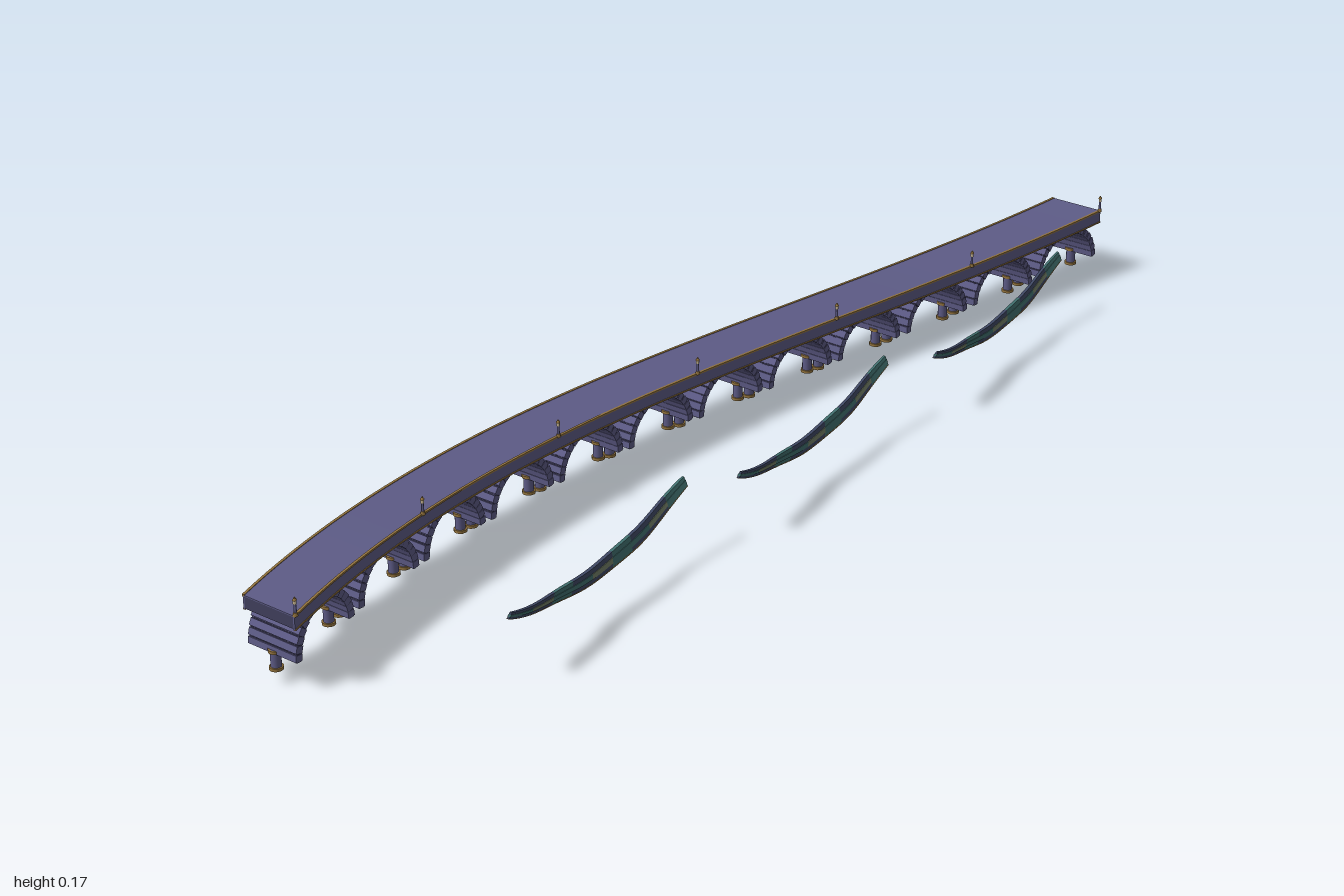
import * as THREE from 'three';

const mat = (name, color, side = THREE.FrontSide) => {
  const m = new THREE.MeshStandardMaterial({ color, side });
  m.name = name;
  return m;
};

// Plan and height curves followed by the whole bridge
const deckZ = x => -0.124 + 0.114 * x + 0.111 * x * x - 0.047 * x ** 3;
const deckY = x => 0.1202 - 0.0281 * x + 0.0083 * x * x + 0.0266 * x ** 3;

// Sweeps a closed section, given by section(x) as [z, y] corners, along x
function sweep(x0, x1, steps, section) {
  const pos = [];
  const ring = i => {
    const x = x0 + (x1 - x0) * i / steps;
    return section(x).map(([z, y]) => [x, y, z]);
  };
  const tri = (a, b, c) => pos.push(...a, ...b, ...c);
  for (let i = 0; i < steps; i++) {
    const A = ring(i), B = ring(i + 1);
    for (let j = 0; j < A.length; j++) {
      const k = (j + 1) % A.length;
      tri(A[j], B[j], B[k]);
      tri(A[j], B[k], A[k]);
    }
  }
  const S = ring(0), E = ring(steps);
  for (let j = 1; j < S.length - 1; j++) {
    tri(S[0], S[j], S[j + 1]);
    tri(E[0], E[j + 1], E[j]);
  }
  const g = new THREE.BufferGeometry();
  g.setAttribute('position', new THREE.Float32BufferAttribute(pos, 3));
  g.computeVertexNormals();
  return g;
}

// Rectangle section, offset from the deck curves
const deckRect = (zMin, zMax, yMin, yMax) => x => {
  const z = deckZ(x), y = deckY(x);
  return [[z + zMax, y + yMax], [z + zMin, y + yMax], [z + zMin, y + yMin], [z + zMax, y + yMin]];
};

export function createModel() {
  const root = new THREE.Group();
  root.name = 'archedBridge';
  const stone = mat('violetStone', 0x5d5b86);
  const shade = mat('darkStone', 0x403e5c);
  const gold = mat('agedGold', 0x94743e);
  const glow = mat('lanternGlass', 0xcdbb95);
  const teal = mat('tealCloth', 0x41706f, THREE.DoubleSide);
  const slate = mat('slateCloth', 0x3f4864, THREE.DoubleSide);
  const sage = mat('sageCloth', 0x748068, THREE.DoubleSide);

  const add = (parent, name, geo, material, x = 0, y = 0, z = 0) => {
    const m = new THREE.Mesh(geo, material);
    m.name = name;
    m.position.set(x, y, z);
    parent.add(m);
    return m;
  };

  // Deck: dark core, stone walkway and side faces, gold edge trims
  const deckPart = (name, material, ...rect) =>
    add(root, name, sweep(-0.996, 0.996, 60, deckRect(...rect)), material);
  deckPart('deckCore', shade, -0.049, 0.049, -0.021, -0.001);
  deckPart('walkway', stone, -0.0505, 0.0505, -0.001, 0.001);
  for (const s of [-1, 1]) {
    const side = s * 0.05, edge = s * 0.0505;
    deckPart('sideFace', stone, side - 0.0015, side + 0.0015, -0.022, -0.001);
    deckPart('upperTrim', gold, edge - 0.0022, edge + 0.0022, -0.001, 0.002);
    deckPart('lowerTrim', gold, edge - 0.0022, edge + 0.0022, -0.023, -0.0205);
  }

  // Twelve bays: a dark barrel lining carrying stone blocks, on two columns
  const bay = 1 / 6, radius = 0.07, blocks = 17;
  const pitch = Math.PI * radius / blocks;
  const liningGeo = new THREE.BoxGeometry(0.009, pitch + 0.0006, 0.0955);
  const blockGeo = new THREE.BoxGeometry(0.013, pitch * 0.86, 0.0965);
  const columnGeo = new THREE.CylinderGeometry(0.0085, 0.0085, 0.034, 12);
  const ringGeo = new THREE.CylinderGeometry(0.011, 0.011, 0.005, 12);
  for (let i = 0; i < 12; i++) {
    const group = new THREE.Group();
    group.name = 'archBay';
    root.add(group);
    const cx = -1 + bay * (i + 0.5), spring = deckY(cx) - 0.084;
    for (let k = 0; k < blocks; k++) {
      const a = Math.PI * (k + 0.5) / blocks;
      const x = cx + Math.cos(a) * radius, y = spring + Math.sin(a) * radius;
      add(group, 'archLining', liningGeo, shade, x, y, deckZ(x)).rotation.z = a;
      add(group, 'archBlock', blockGeo, stone, x, y, deckZ(x)).rotation.z = a;
    }
    for (const s of [-1, 1]) {
      const x = cx + s * radius, z = deckZ(x), foot = deckY(cx) - 0.1115;
      add(group, 'column', columnGeo, stone, x, foot + 0.017, z);
      add(group, 'columnBase', ringGeo, gold, x, foot + 0.0025, z);
      add(group, 'columnCap', ringGeo, gold, x, foot + 0.0315, z);
    }
  }

  // Lamp posts along the front edge
  const footGeo = new THREE.CylinderGeometry(0.003, 0.004, 0.006, 8);
  const postGeo = new THREE.CylinderGeometry(0.002, 0.0024, 0.016, 8);
  const lanternGeo = new THREE.CylinderGeometry(0.0032, 0.0028, 0.006, 6);
  const capGeo = new THREE.ConeGeometry(0.0038, 0.006, 6);
  for (let i = 0; i < 7; i++) {
    const lamp = new THREE.Group();
    const x = (i - 3) * 0.331;
    lamp.name = 'lampPost';
    lamp.position.set(x, deckY(x), deckZ(x) + 0.052);
    root.add(lamp);
    add(lamp, 'lampFoot', footGeo, gold, 0, 0.003, 0);
    add(lamp, 'lampPole', postGeo, stone, 0, 0.013, 0);
    add(lamp, 'lantern', lanternGeo, glow, 0, 0.023, 0);
    add(lamp, 'lanternCap', capGeo, gold, 0, 0.029, 0);
  }

  // Three hanging garlands: stacked bands of cloth patches tapering to the ends
  // Each band: lower and upper share of the height, half depth, patch colours
  const bands = [
    [0.16, 0.5, 0.003, [slate, slate, teal]],
    [-0.18, 0.16, 0.004, [teal, teal, sage]],
    [-0.44, -0.18, 0.003, [slate, teal, slate]],
    [-0.5, -0.44, 0.0034, [gold]],
  ];
  const length = 0.47, patches = 9;
  for (const cx of [-0.553, -0.004, 0.546]) {
    const garland = new THREE.Group();
    garland.name = 'garland';
    garland.position.x = cx;
    root.add(garland);
    bands.forEach(([lo, hi, depth, colours], row) => {
      const section = x => {
        const t = 2 * x / length;
        const h = 0.028 * (1 - 0.5 * t * t);
        const y = 0.08 + 0.003 * t + 0.038 * t * t + 0.002 * Math.sin(t * 9);
        const z = 0.171 - 0.024 * t + 0.0015 * Math.sin(t * 7);
        // The cloth leans outwards towards its ends
        const lean = -0.5 * h * t;
        const top = z + hi * lean, bottom = z + lo * lean;
        const w = depth * (1 - 0.3 * t * t);
        return [[top + w, y + hi * h], [top - w, y + hi * h], [bottom - w, y + lo * h], [bottom + w, y + lo * h]];
      };
      for (let p = 0; p < patches; p++) {
        const x0 = length * (p / patches - 0.5);
        add(garland, 'clothPatch', sweep(x0, x0 + length / patches, 4, section), colours[(p + row) % colours.length]);
      }
    });
  }
  return root;
}
